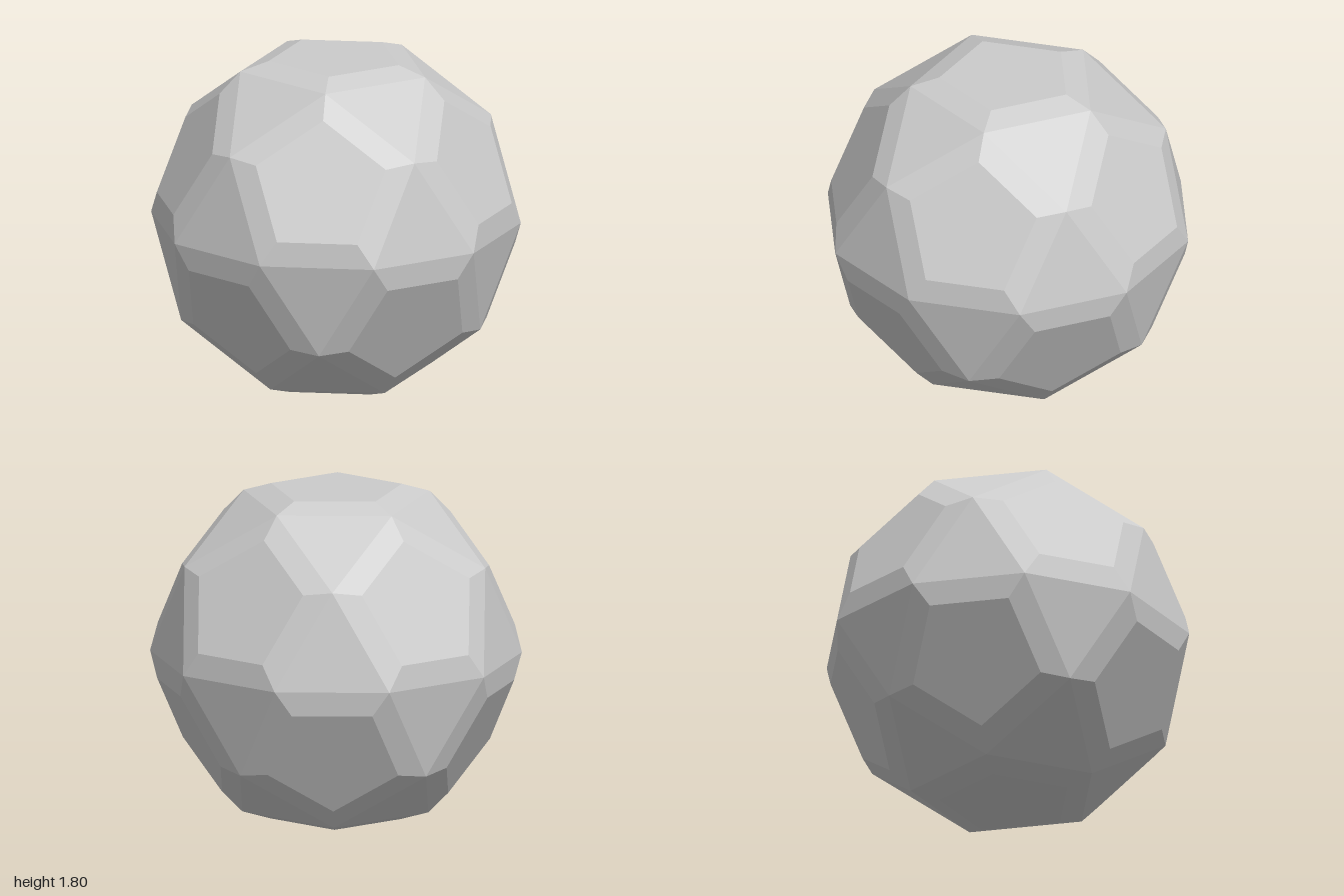
import * as THREE from 'three';

const CENTRE_Y = 0.9;      // height of the solid's centre
const CAP_HEIGHT = 0.9;    // distance of each raised pentagon from the centre
const RIM_HEIGHT = 0.8507; // distance of each pentagon rim from the centre
const CAP_SCALE = 0.704;   // raised pentagon size relative to its rim

// The twelve five-fold axes: one up, five around it, and their opposites
function makeAxes() {
  const axes = [new THREE.Vector3(0, 1, 0)];
  for (let i = 0; i < 5; i++) {
    const a = (i * Math.PI * 2) / 5;
    axes.push(new THREE.Vector3(2 * Math.cos(a), 1, 2 * Math.sin(a)).normalize());
  }
  return axes.concat(axes.map((v) => v.clone().negate()));
}

const adjacent = (a, b) => Math.abs(a.dot(b) - 0.4472) < 0.01;
const middle = (a, b) => a.clone().add(b).normalize();

// Flat convex faces, each a loop of points turned to face outwards
function facesMesh(name, faces, material) {
  const positions = [];
  for (const face of faces) {
    const normal = face[1].clone().sub(face[0]).cross(face[2].clone().sub(face[0]));
    const loop = normal.dot(face[0]) < 0 ? [...face].reverse() : face;
    for (let i = 1; i < loop.length - 1; i++) {
      for (const p of [loop[0], loop[i], loop[i + 1]]) positions.push(p.x, p.y, p.z);
    }
  }
  const geometry = new THREE.BufferGeometry();
  geometry.setAttribute('position', new THREE.Float32BufferAttribute(positions, 3));
  geometry.computeVertexNormals();
  const mesh = new THREE.Mesh(geometry, material);
  mesh.name = name;
  mesh.position.y = CENTRE_Y;
  return mesh;
}

export function createModel() {
  const group = new THREE.Group();
  group.name = 'facetedBall';
  const material = new THREE.MeshStandardMaterial({ color: 0xcccccc, flatShading: true });
  const axes = makeAxes();

  // Raised pentagons with a bevelled rim
  for (const axis of axes) {
    const near = axes.filter((b) => adjacent(axis, b));
    const u = near[0].clone().addScaledVector(axis, -near[0].dot(axis)).normalize();
    const v = axis.clone().cross(u);
    near.sort((p, q) => Math.atan2(p.dot(v), p.dot(u)) - Math.atan2(q.dot(v), q.dot(u)));
    const rim = near.map((b) => middle(axis, b));
    const top = rim.map((p) => p.clone().addScaledVector(axis, -RIM_HEIGHT)
      .multiplyScalar(CAP_SCALE).addScaledVector(axis, CAP_HEIGHT));
    const faces = [top];
    for (let i = 0; i < 5; i++) {
      const j = (i + 1) % 5;
      faces.push([rim[i], rim[j], top[j], top[i]]);
    }
    group.add(facesMesh('pentagonCap', faces, material));
  }

  // Triangles filling the gaps between three neighbouring pentagons
  const triangles = [];
  axes.forEach((a, i) => axes.forEach((b, j) => axes.forEach((c, k) => {
    if (i < j && j < k && adjacent(a, b) && adjacent(b, c) && adjacent(a, c)) {
      triangles.push([middle(a, b), middle(b, c), middle(c, a)]);
    }
  })));
  group.add(facesMesh('trianglePanels', triangles, material));

  return group;
}
